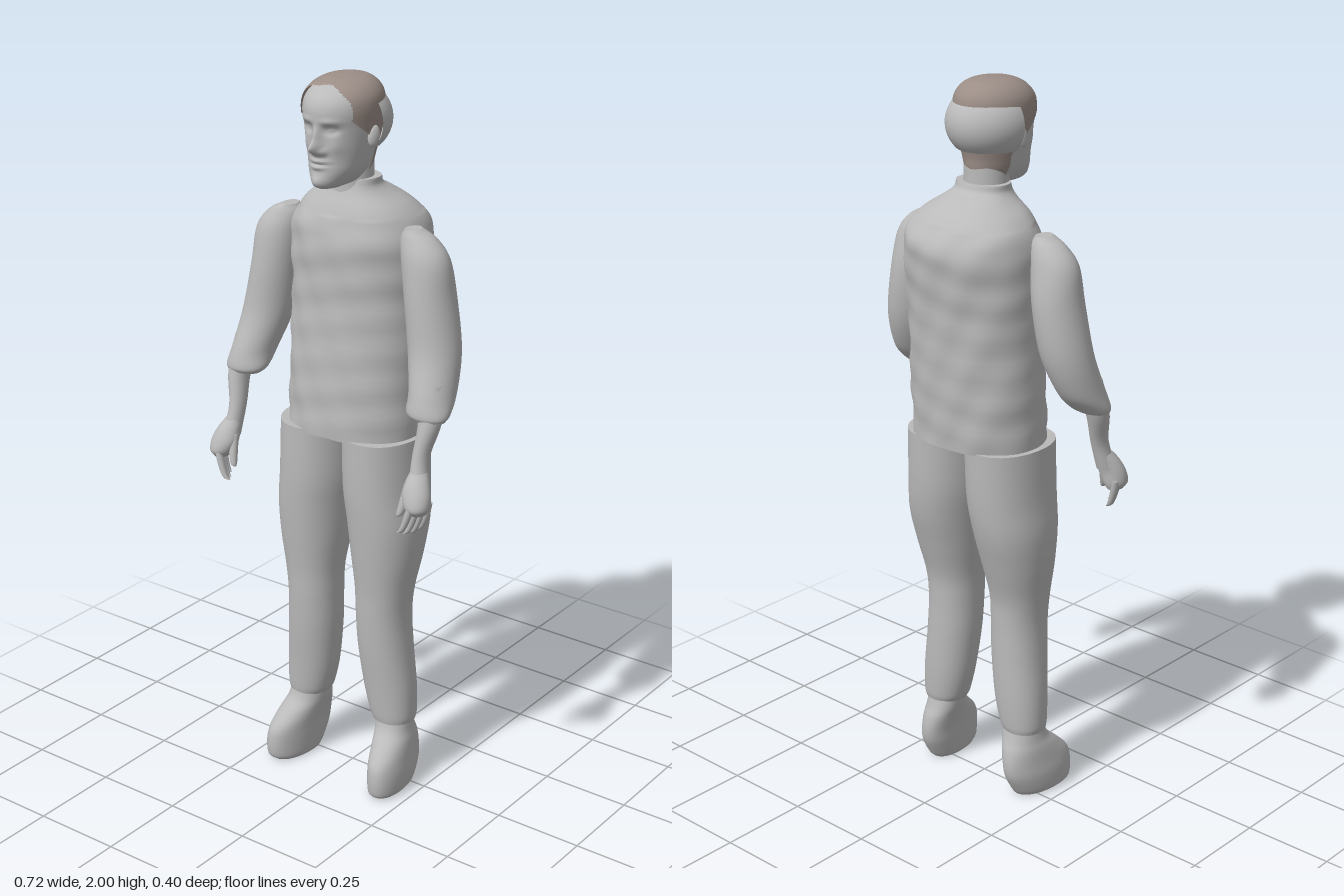
import * as THREE from 'three';

const paint = (name, color) => {
  const m = new THREE.MeshStandardMaterial({ color, side: THREE.DoubleSide });
  m.name = name;
  return m;
};

// Smooth body through horizontal sections, listed from low to high:
// [y, centre x, half width, front z, back z]
function loft(rows, { around = 40, steps = 6, power = 1, tweak, keep } = {}) {
  const a = new THREE.CatmullRomCurve3(rows.map(r => new THREE.Vector3(r[0], r[1], r[2])), false, 'catmullrom');
  const b = new THREE.CatmullRomCurve3(rows.map(r => new THREE.Vector3(r[3], r[4], 0)), false, 'catmullrom');
  const count = (rows.length - 1) * steps;
  const pos = [], index = [], v = new THREE.Vector3();
  const bend = t => Math.sign(t) * Math.abs(t) ** power;
  const ring = i => {
    const p = a.getPoint(i / count), q = b.getPoint(i / count);
    const mid = (q.x + q.y) / 2, deep = (q.x - q.y) / 2;
    for (let j = 0; j < around; j++) {
      const t = j / around * Math.PI * 2;
      v.set(p.y + p.z * bend(Math.cos(t)), p.x, mid + deep * bend(Math.sin(t)));
      if (tweak) tweak(v);
      pos.push(v.x, v.y, v.z);
    }
    return [p.y, p.x, mid];
  };
  for (let i = 0; i <= count; i++) ring(i);
  const tri = (...t) => {
    const c = k => t.reduce((s, n) => s + pos[n * 3 + k], 0) / 3;
    if (!keep || keep(c(0), c(1), c(2))) index.push(...t);
  };
  for (let i = 0; i < count; i++) for (let j = 0; j < around; j++) {
    const k = (j + 1) % around, o = i * around, u = o + around;
    tri(o + j, u + j, o + k);
    tri(u + j, u + k, o + k);
  }
  // Closed ends with their own vertices keep the rims crisp
  for (const end of [0, count]) {
    const o = pos.length / 3, centre = ring(end);
    pos.push(...centre);
    for (let j = 0; j < around; j++) {
      const k = (j + 1) % around;
      if (end) tri(o + j, o + around, o + k);
      else tri(o + k, o + around, o + j);
    }
  }
  const g = new THREE.BufferGeometry();
  g.setAttribute('position', new THREE.Float32BufferAttribute(pos, 3));
  g.setIndex(index);
  g.computeVertexNormals();
  return g;
}

const bump = (dx, dy, w, h) => Math.exp(-((dx / w) ** 2) - (dy / h) ** 2);

// Nose, brow, eye sockets, cheeks, lips and chin pushed into the face
function sculptFace(v) {
  if (v.z < 0.08) return;
  const { y } = v, x = Math.abs(v.x);
  v.z += 0.036 * bump(x, y - 1.832, 0.013, 0.017) + 0.016 * bump(x, y - 1.86, 0.01, 0.025)
    + 0.01 * bump(x - 0.017, y - 1.822, 0.009, 0.009)
    - 0.013 * bump(x - 0.035, y - 1.878, 0.017, 0.011)
    + 0.006 * bump(x - 0.035, y - 1.878, 0.009, 0.005)
    + 0.005 * bump(x - 0.035, y - 1.9, 0.025, 0.008)
    + 0.005 * bump(x - 0.045, y - 1.835, 0.018, 0.02)
    + 0.009 * bump(x, y - 1.797, 0.024, 0.006) + 0.009 * bump(x, y - 1.782, 0.02, 0.006)
    - 0.005 * bump(x, y - 1.789, 0.026, 0.003)
    + 0.007 * bump(x, y - 1.745, 0.022, 0.016);
}

// Soft cloth folds
function crumple(v) {
  const f = 0.0022 * Math.sin(v.y * 47 + v.x * 22) * Math.sin(v.x * 38 - v.y * 19 + v.z * 15);
  const fade = v.y > 1.64 ? 0.3 : 1;
  v.x += f * fade * Math.sign(v.x);
  v.z += 1.4 * f * fade * Math.sign(v.z);
}

export function createModel() {
  const model = new THREE.Group();
  model.name = 'standingMan';
  const grey = paint('plainGrey', 0xbababa);
  const brown = paint('hairBrown', 0x9c8e87);
  const add = (name, geometry, material = grey) => {
    const m = new THREE.Mesh(geometry, material);
    m.name = name;
    model.add(m);
    return m;
  };

  // Shirt body
  add('shirt', loft([
    [1.04, 0, 0.192, 0.127, -0.165], [1.2, 0, 0.192, 0.122, -0.174], [1.4, 0, 0.19, 0.112, -0.184],
    [1.53, 0, 0.192, 0.114, -0.198], [1.59, 0, 0.189, 0.112, -0.2], [1.63, 0, 0.174, 0.1, -0.18],
    [1.665, 0, 0.143, 0.086, -0.148], [1.695, 0, 0.1, 0.07, -0.105], [1.715, 0, 0.08, 0.06, -0.07],
    [1.735, 0, 0.077, 0.052, -0.06],
  ], { around: 72, steps: 8, power: 0.9, tweak: crumple }));

  // Head and neck
  add('neck', loft([
    [1.66, 0, 0.068, 0.07, -0.055], [1.72, 0, 0.062, 0.066, -0.052], [1.8, 0, 0.06, 0.065, -0.05],
  ]));
  const skull = [
    [1.724, 0, 0.026, 0.135, 0.04], [1.735, 0, 0.046, 0.15, -0.03], [1.765, 0, 0.066, 0.15, -0.045],
    [1.8, 0, 0.077, 0.145, -0.05], [1.84, 0, 0.086, 0.145, -0.06], [1.88, 0, 0.092, 0.15, -0.072],
    [1.92, 0, 0.095, 0.155, -0.076], [1.95, 0, 0.09, 0.145, -0.072], [1.973, 0, 0.073, 0.12, -0.056],
    [1.988, 0, 0.046, 0.085, -0.03], [1.994, 0, 0.012, 0.045, 0.01],
  ];
  add('head', loft(skull, { around: 112, steps: 9, tweak: sculptFace }));

  // Hair hugging the crown, temples and nape
  const hairRows = skull.map(([y, x, w, f, b]) => [y + (y - 1.72) * 0.022, x, w + 0.005, f + 0.003, b - 0.004]);
  add('hair', loft(hairRows, {
    around: 112, steps: 9,
    keep: (x, y, z) => z < 0.112 - 0.004 * Math.sin(x * 90)
      && (z > 0.015 ? y > 1.835 + (z - 0.02) * 0.75 : y > 1.735),
  }), brown);

  // Shell around the back of the head
  const shell = new THREE.SphereGeometry(1, 40, 24, Math.PI, Math.PI, 0, 2.28);
  shell.scale(0.114, 0.1, 0.125);
  add('backHairShell', shell).position.set(0, 1.885, 0.025);

  for (const s of [1, -1]) {
    const side = s > 0 ? 'left' : 'right';
    const limb = (name, rows, options) =>
      add(side + name, loft(rows.map(([y, x, ...r]) => [y, x * s, ...r]), options));

    // Ear
    const ear = add(side + 'Ear', new THREE.SphereGeometry(1, 16, 12));
    ear.scale.set(0.01, 0.028, 0.017);
    ear.position.set(s * 0.096, 1.855, 0.04);
    ear.rotation.set(-0.2, s * -0.4, 0);

    // Rolled sleeve
    limb('Sleeve', [
      [1.155, 0.303, 0.05, 0.12, 0.05], [1.172, 0.298, 0.061, 0.126, 0.025], [1.22, 0.292, 0.061, 0.115, -0.02],
      [1.32, 0.272, 0.069, 0.085, -0.058], [1.45, 0.25, 0.067, 0.075, -0.068], [1.55, 0.235, 0.066, 0.064, -0.053],
      [1.6, 0.214, 0.05, 0.047, -0.037], [1.625, 0.197, 0.02, 0.034, -0.02],
    ]);

    // Forearm and palm
    limb('Forearm', [
      [0.98, 0.312, 0.027, 0.165, 0.11], [1.06, 0.304, 0.022, 0.142, 0.088],
      [1.15, 0.314, 0.03, 0.125, 0.058], [1.25, 0.3, 0.04, 0.1, 0.03],
    ], { around: 24 });
    limb('Palm', [
      [0.922, 0.328, 0.02, 0.182, 0.13], [0.94, 0.325, 0.034, 0.194, 0.124], [0.97, 0.318, 0.039, 0.188, 0.12],
      [1.0, 0.313, 0.032, 0.174, 0.112], [1.025, 0.308, 0.022, 0.155, 0.102],
    ], { around: 24 });

    // Fingers curling inwards, then the thumb
    const digit = (name, low, high, r) => {
      const rows = [0, 0.08, 0.3, 0.65, 1].map((t, i) => {
        const w = r * [0.3, 0.75, 0.95, 1.05, 1][i];
        const x = THREE.MathUtils.lerp(low[0], high[0], Math.sqrt(t));
        const z = THREE.MathUtils.lerp(low[2], high[2], t);
        return [THREE.MathUtils.lerp(low[1], high[1], t), x, w, z + w, z - w];
      });
      limb(name, rows, { around: 12, steps: 3 });
    };
    for (let f = 0; f < 4; f++)
      digit('Finger' + (f + 1), [0.312 - f * 0.01, 0.868 - 0.008 * Math.sin(f), 0.142 + f * 0.015],
        [0.345 - f * 0.008, 0.95, 0.135 + f * 0.016], 0.0095);
    digit('Thumb', [0.272, 0.905, 0.172], [0.29, 0.99, 0.15], 0.012);

    // Trouser leg
    limb('TrouserLeg', [
      [0.195, 0.147, 0.058, 0.06, -0.055], [0.22, 0.143, 0.066, 0.064, -0.06], [0.3, 0.133, 0.074, 0.072, -0.065],
      [0.42, 0.121, 0.075, 0.085, -0.066], [0.52, 0.117, 0.074, 0.092, -0.066], [0.6, 0.119, 0.079, 0.096, -0.072],
      [0.7, 0.12, 0.094, 0.106, -0.1], [0.8, 0.117, 0.104, 0.115, -0.128], [0.9, 0.107, 0.106, 0.121, -0.142],
      [1.045, 0.103, 0.104, 0.122, -0.148],
    ], { around: 48, power: 0.92 });

    // Shoe with the toe turned slightly out
    limb('Shoe', [
      [0, 0.165, 0.043, 0.13, -0.038], [0.015, 0.168, 0.05, 0.145, -0.05], [0.06, 0.168, 0.053, 0.148, -0.074],
      [0.1, 0.165, 0.052, 0.138, -0.08], [0.14, 0.159, 0.053, 0.1, -0.074], [0.17, 0.152, 0.053, 0.068, -0.062],
      [0.21, 0.147, 0.053, 0.052, -0.05],
    ], { around: 36, power: 0.92, tweak: v => { v.x += s * 0.1 * (v.z - 0.03); } });
  }
  return model;
}
